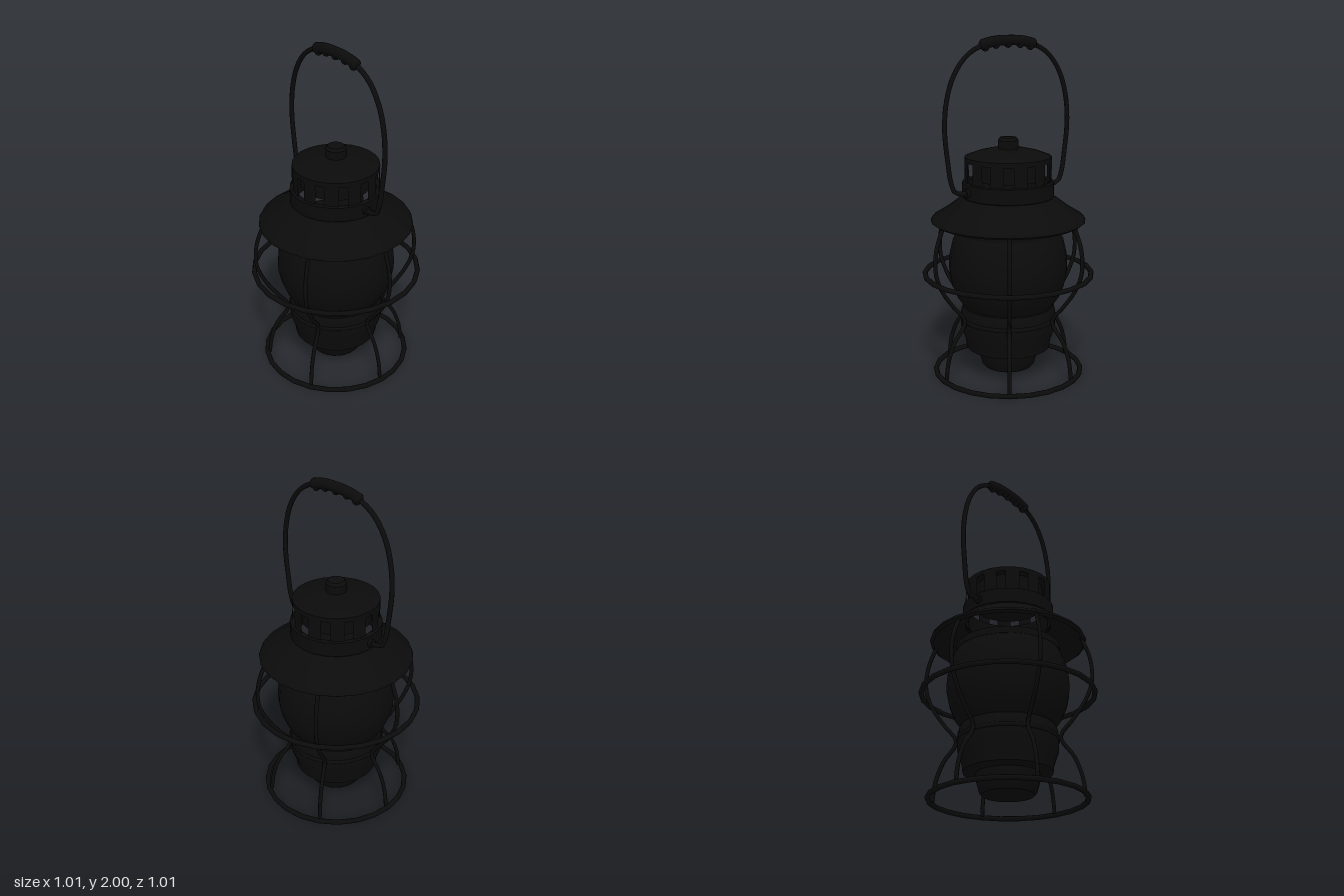
import * as THREE from 'three';
import { toCreasedNormals } from 'three/addons/utils/BufferGeometryUtils.js';

const SIDES = 24;
const metal = new THREE.MeshStandardMaterial({ color: 0x0b0b0b, side: THREE.DoubleSide });

export function createModel() {
  const lantern = new THREE.Group();
  lantern.name = 'lantern';

  const add = (name, geometry, parent = lantern) => {
    const mesh = new THREE.Mesh(geometry, metal);
    mesh.name = name;
    parent.add(mesh);
    return mesh;
  };
  // Turned part from [radius, height] pairs, bottom to top
  const turned = (name, profile, parent, start = 0, sweep = Math.PI * 2, sides = SIDES) => {
    const points = profile.map(([r, y]) => new THREE.Vector2(r, y));
    return add(name, toCreasedNormals(new THREE.LatheGeometry(points, sides, start, sweep), 0.6), parent);
  };
  const hoop = (name, radius, y, wire) => {
    const ring = add(name, new THREE.TorusGeometry(radius, wire, 8, SIDES));
    ring.rotation.x = Math.PI / 2;
    ring.position.y = y;
  };
  const curve = (points) => new THREE.CatmullRomCurve3(points.map(([x, y]) => new THREE.Vector3(x, y, 0)));

  // Fuel pot with narrow foot
  turned('fuelPot', [
    [0, 0.04], [0.145, 0.04], [0.158, 0.055], [0.18, 0.13], [0.18, 0.155], [0.25, 0.165],
    [0.255, 0.21], [0.282, 0.285], [0.282, 0.38], [0.27, 0.42], [0.25, 0.435], [0, 0.435],
  ]);
  hoop('potBand', 0.278, 0.35, 0.013);

  // Bulging globe and its upper collar
  turned('globe', [
    [0.265, 0.425], [0.305, 0.48], [0.335, 0.555], [0.348, 0.62], [0.35, 0.67],
    [0.344, 0.74], [0.325, 0.82], [0.295, 0.88],
  ]);
  turned('globeCollar', [[0.285, 0.865], [0.302, 0.87], [0.302, 0.91], [0.285, 0.912], [0, 0.912]]);

  // Open brim shell, hollow beneath
  turned('brim', [
    [0.25, 1.05], [0.41, 0.95], [0.435, 0.925], [0.453, 0.938], [0.445, 0.955],
    [0.37, 1.0], [0.29, 1.06], [0.255, 1.08],
  ]);

  // Vented chimney: lower band, posts between slots, inner flue
  const chimney = new THREE.Group();
  chimney.name = 'chimney';
  lantern.add(chimney);
  turned('lowerBand', [[0.25, 1.06], [0.267, 1.08], [0.267, 1.165], [0.25, 1.17], [0.235, 1.165], [0.235, 1.06]], chimney);
  const slots = 12;
  const pitch = (Math.PI * 2) / slots;
  for (let i = 0; i < slots; i++) {
    turned('ventPost', [[0.252, 1.16], [0.252, 1.295]], chimney, (i + 0.2) * pitch, pitch * 0.6, 2);
  }
  turned('innerFlue', [[0, 1.18], [0.205, 1.18], [0.205, 1.3]], chimney);
  turned('hoodCap', [
    [0.2, 1.285], [0.252, 1.285], [0.252, 1.312], [0.18, 1.338], [0.1, 1.357], [0, 1.357],
  ], chimney);
  turned('capKnob', [[0.06, 1.35], [0.06, 1.405], [0.048, 1.422], [0, 1.425]], chimney, 0, Math.PI * 2, 16);

  // Wire cage: six bent uprights and two hoops
  const wire = curve([
    [0.42, 0.02], [0.405, 0.13], [0.365, 0.24], [0.293, 0.355], [0.36, 0.45], [0.43, 0.55],
    [0.472, 0.65], [0.48, 0.73], [0.467, 0.83], [0.425, 0.945],
  ]);
  const wireGeometry = new THREE.TubeGeometry(wire, 28, 0.012, 6);
  for (let i = 0; i < 6; i++) {
    add('cageWire', wireGeometry).rotation.y = (i * Math.PI) / 3;
  }
  hoop('middleHoop', 0.492, 0.617, 0.015);
  hoop('baseHoop', 0.435, 0.017, 0.015);

  // Carrying handle, mirrored from one half
  const half = [
    [0.25, 1.12], [0.29, 1.12], [0.345, 1.13], [0.37, 1.18], [0.39, 1.3], [0.408, 1.49],
    [0.395, 1.64], [0.355, 1.77], [0.28, 1.878], [0.18, 1.94],
  ];
  const mirrored = half.map(([x, y]) => [-x, y]).reverse();
  add('handle', new THREE.TubeGeometry(curve([...half, [0, 1.968], ...mirrored]), 64, 0.014, 8));
  for (const side of [-1, 1]) {
    const boss = add('handlePivot', new THREE.CylinderGeometry(0.026, 0.026, 0.03, 10));
    boss.rotation.z = Math.PI / 2;
    boss.position.set(side * 0.268, 1.12, 0);
  }

  // Grip with finger ridges underneath
  const grip = new THREE.Group();
  grip.name = 'grip';
  lantern.add(grip);
  const gripPath = curve([[0.165, 1.95], [0.09, 1.966], [0, 1.97], [-0.09, 1.966], [-0.165, 1.95]]);
  add('gripBody', new THREE.TubeGeometry(gripPath, 16, 0.03, 10), grip);
  for (const t of [0, 1]) {
    const end = add('gripEnd', new THREE.SphereGeometry(0.03, 10, 8), grip);
    end.position.copy(gripPath.getPoint(t));
    end.scale.x = 0.65;
  }
  for (let i = 0; i < 5; i++) {
    const ridge = add('fingerRidge', new THREE.SphereGeometry(0.03, 10, 8), grip);
    ridge.position.copy(gripPath.getPoint(0.06 + i * 0.22));
    ridge.position.y -= 0.014;
    ridge.scale.set(0.8, 1, 0.9);
  }

  return lantern;
}
